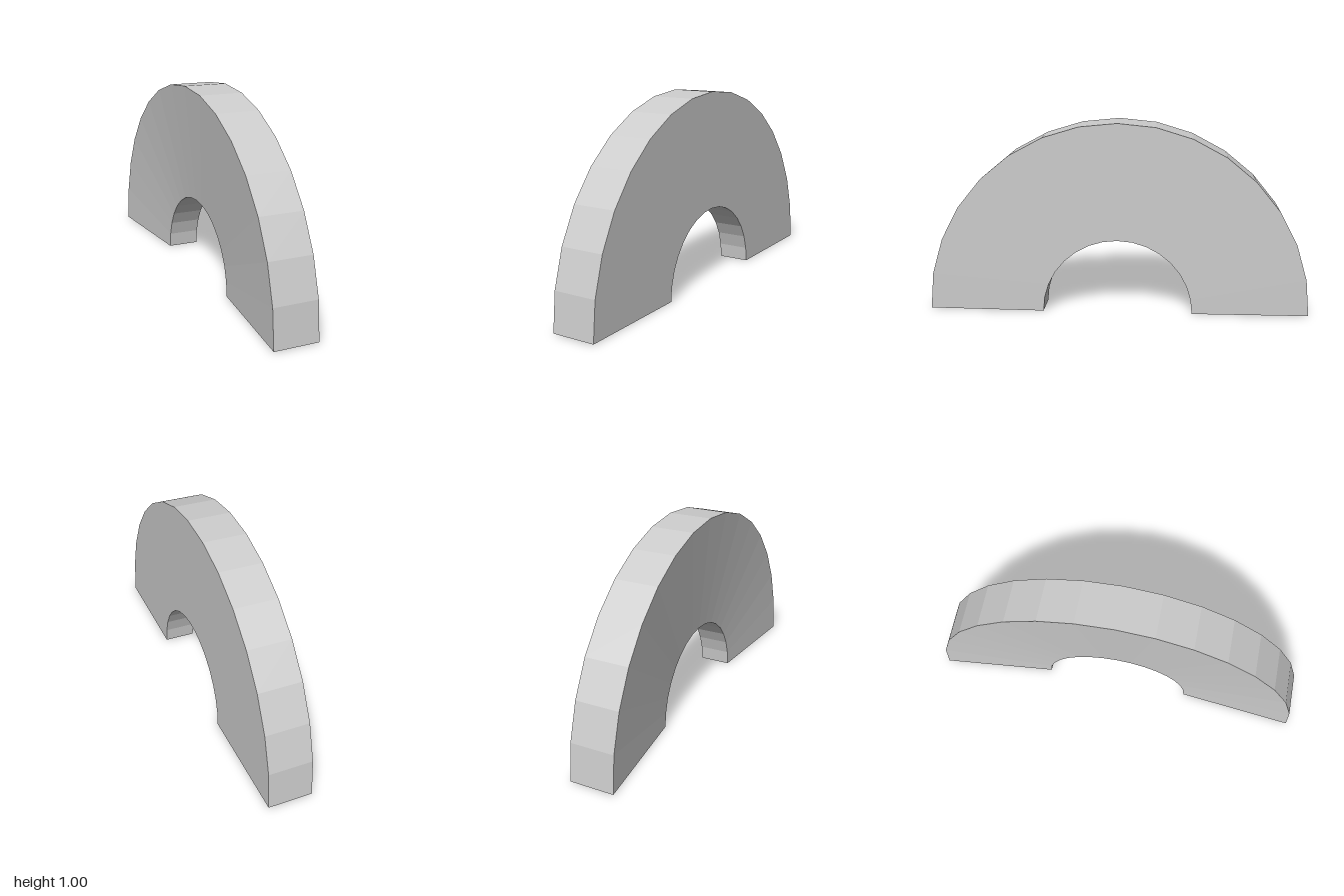
import * as THREE from 'three';

const SEGMENTS = 16;

// cross-section corners: the -x side is dished, so the inner rim is narrower
const SECTION = [
  { x: 0.113, radius: 1, baseY: 0.003 },
  { x: -0.113, radius: 1, baseY: 0.003 },
  { x: -0.053, radius: 0.393, baseY: 0 },
  { x: 0.113, radius: 0.393, baseY: 0 },
];

// sweeps the cross-section through a half turn and closes both feet
function sweptArch() {
  const positions = [];
  const index = [];
  const quad = (a, b, c, d) => index.push(a, b, c, a, c, d);
  const n = SECTION.length;

  for (let i = 0; i <= SEGMENTS; i++) {
    const angle = (i / SEGMENTS) * Math.PI;
    for (const { x, radius, baseY } of SECTION) {
      positions.push(x, Math.sin(angle) * radius + baseY, Math.cos(angle) * radius);
    }
  }
  for (let i = 0; i < SEGMENTS; i++) {
    for (let k = 0; k < n; k++) {
      const a = i * n + k;
      const b = i * n + ((k + 1) % n);
      quad(b, a, a + n, b + n);
    }
  }
  const last = SEGMENTS * n;
  quad(0, 1, 2, 3);
  quad(last + 3, last + 2, last + 1, last);

  const indexed = new THREE.BufferGeometry();
  indexed.setAttribute('position', new THREE.Float32BufferAttribute(positions, 3));
  indexed.setIndex(index);
  const geometry = indexed.toNonIndexed();
  geometry.computeVertexNormals();
  return geometry;
}

export function createModel() {
  const group = new THREE.Group();
  group.name = 'archModel';

  // faceted half ring standing on its two feet
  const arch = new THREE.Mesh(
    sweptArch(),
    new THREE.MeshStandardMaterial({ color: 0xcccccc, flatShading: true })
  );
  arch.name = 'arch';
  group.add(arch);
  return group;
}
